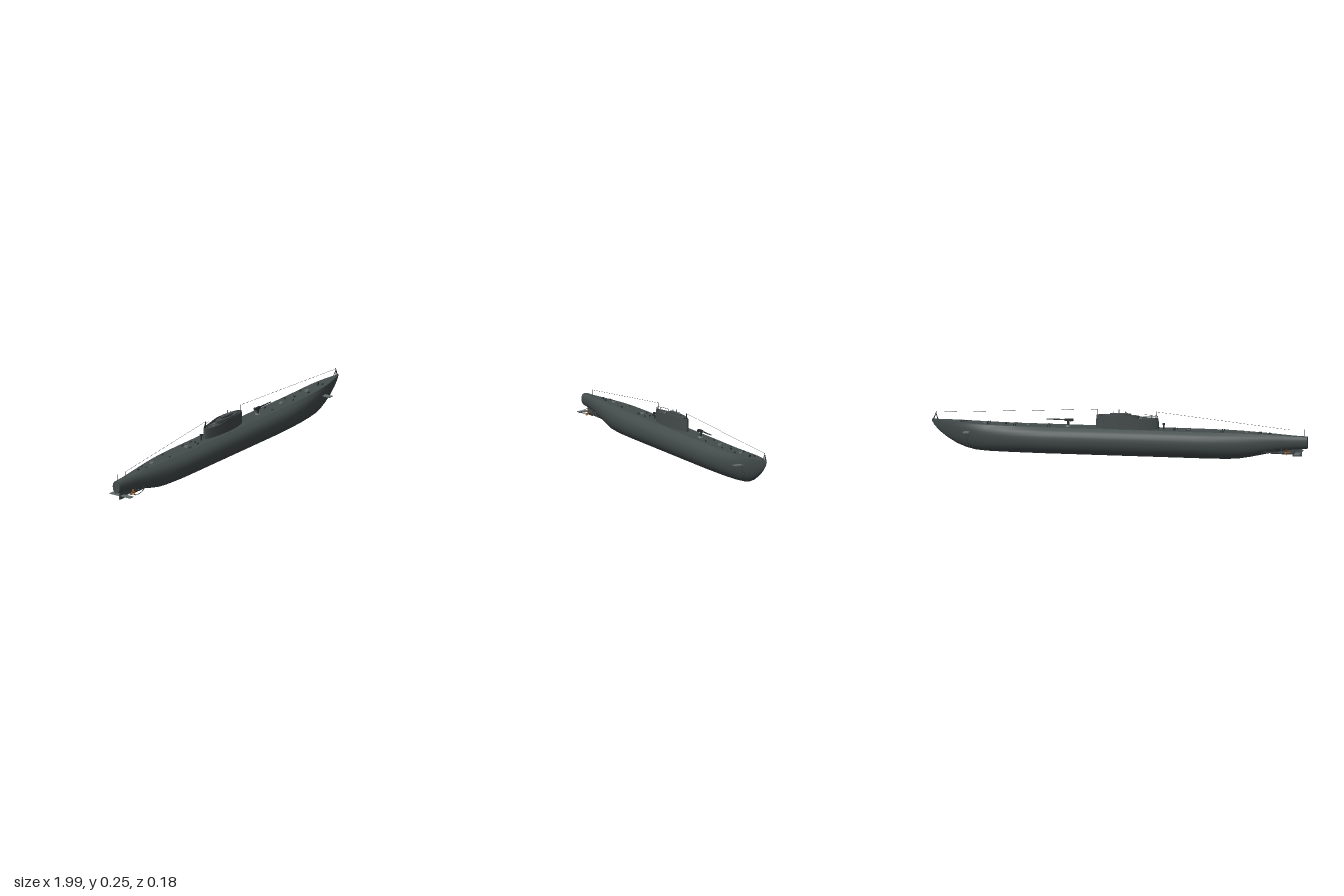
import * as THREE from 'three';

const mat = (name, color, side = THREE.FrontSide) => {
  const m = new THREE.MeshStandardMaterial({ color, side });
  m.name = name;
  return m;
};

// Stations: x, keel y, deck y, half width, bow shape blend
const STATIONS = [
  [-1, 0.067, 0.131, 0.022, 0], [-0.93, 0.062, 0.133, 0.028, 0], [-0.86, 0.051, 0.137, 0.036, 0],
  [-0.78, 0.034, 0.141, 0.048, 0], [-0.7, 0.016, 0.144, 0.061, 0], [-0.64, 0.005, 0.146, 0.07, 0],
  [-0.58, 0.001, 0.147, 0.077, 0], [-0.5, 0, 0.147, 0.084, 0], [-0.41, 0, 0.147, 0.088, 0],
  [0, 0, 0.147, 0.088, 0], [0.4, 0, 0.147, 0.088, 0], [0.5, 0, 0.147, 0.083, 0.05],
  [0.6, 0, 0.148, 0.075, 0.15], [0.7, 0.002, 0.15, 0.064, 0.35], [0.76, 0.007, 0.152, 0.056, 0.5],
  [0.81, 0.019, 0.154, 0.048, 0.65], [0.86, 0.039, 0.156, 0.038, 0.8], [0.91, 0.069, 0.159, 0.026, 0.9],
  [0.95, 0.1, 0.161, 0.015, 1], [0.98, 0.132, 0.163, 0.006, 1], [0.993, 0.155, 0.164, 0.0015, 1],
];

// Normalised half sections (z, y) from deck edge to keel
const MID = [[0.56, 1], [0.64, 0.965], [0.75, 0.92], [0.86, 0.86], [0.95, 0.77], [0.99, 0.67],
  [1, 0.565], [0.975, 0.44], [0.9, 0.315], [0.76, 0.195], [0.57, 0.095], [0.33, 0.03], [0, 0]];
const BOW = [[1, 1], [0.99, 0.95], [0.975, 0.89], [0.95, 0.82], [0.91, 0.74], [0.86, 0.65],
  [0.8, 0.56], [0.72, 0.45], [0.62, 0.34], [0.5, 0.23], [0.36, 0.13], [0.19, 0.05], [0, 0]];

function hullRing([x, y0, y1, w, b]) {
  const half = MID.map(([z, y], j) => [x,
    y0 + (y1 - y0) * (y + (BOW[j][1] - y) * b), w * (z + (BOW[j][0] - z) * b)]);
  return [...half, ...half.slice(0, -1).reverse().map(([a, y, z]) => [a, y, -z])];
}

// Skin over rings of equal length
function loft(rings, flip = false) {
  const n = rings[0].length, idx = [];
  for (let i = 0; i < rings.length - 1; i++) for (let j = 0; j < n - 1; j++) {
    const a = i * n + j, b = a + n, c = a + 1, d = b + 1;
    idx.push(...(flip ? [a, b, c, b, d, c] : [a, c, b, b, c, d]));
  }
  const g = new THREE.BufferGeometry();
  g.setAttribute('position', new THREE.Float32BufferAttribute(rings.flat(2), 3));
  g.setIndex(idx);
  g.computeVertexNormals();
  return g;
}

function deckY(x) {
  const i = Math.max(1, STATIONS.findIndex(s => s[0] >= x));
  const [a, b] = [STATIONS[i - 1], STATIONS[i]];
  return a[2] + (b[2] - a[2]) * (x - a[0]) / (b[0] - a[0]);
}

export function createModel() {
  const root = new THREE.Group();
  root.name = 'submarine';
  const hullMat = mat('hull grey', 0x444c4c);
  const towerMat = mat('tower grey', 0x444b4b, THREE.DoubleSide);
  const steel = mat('light steel', 0x626a6a);
  const dark = mat('dark fittings', 0x2b3030);
  const bronze = mat('bronze', 0x9a5a22, THREE.DoubleSide);

  const add = (name, geo, m, x = 0, y = 0, z = 0) => {
    const mesh = new THREE.Mesh(geo, m);
    mesh.name = name;
    mesh.position.set(x, y, z);
    root.add(mesh);
    return mesh;
  };
  const box = (name, m, w, h, d, x, y, z) => add(name, new THREE.BoxGeometry(w, h, d), m, x, y, z);
  const rod = (name, m, a, b, r, r2 = r, seg = 8) => {
    const p = new THREE.Vector3(...a), q = new THREE.Vector3(...b), dir = q.clone().sub(p);
    const mesh = add(name, new THREE.CylinderGeometry(r2, r, dir.length(), seg), m);
    mesh.position.copy(p).add(q).multiplyScalar(0.5);
    mesh.quaternion.setFromUnitVectors(new THREE.Vector3(0, 1, 0), dir.normalize());
    return mesh;
  };

  // Hull skin, deck and stern plate
  const rings = STATIONS.map(hullRing);
  add('hull', loft(rings), hullMat);
  add('deck', loft(rings.map(r => [r[0], r[r.length - 1]]), true), hullMat);
  const stern = new THREE.Shape(rings[0].map(p => new THREE.Vector2(p[2], p[1])));
  add('sternPlate', new THREE.ShapeGeometry(stern), hullMat, -1).rotation.y = -Math.PI / 2;

  // Conning tower: an elliptical wall with a stepped rim and a sunken floor
  const rim = x => 0.203 + 0.011 * THREE.MathUtils.smoothstep(x, -0.14, -0.04);
  const ellipse = (rx, rz, yOf) => Array.from({ length: 49 }, (_, i) => {
    const t = i / 48 * Math.PI * 2, x = -0.045 + rx * Math.cos(t);
    return [x, yOf(x), rz * Math.sin(t)];
  });
  add('towerWall', loft([ellipse(0.168, 0.035, () => 0.14), ellipse(0.165, 0.034, rim)]), towerMat);
  add('towerRim', loft([ellipse(0.165, 0.034, rim), ellipse(0.16, 0.031, rim)]), towerMat);
  add('towerInside', loft([ellipse(0.16, 0.031, rim), ellipse(0.16, 0.031, () => 0.196)]), towerMat);
  const oval = (name, m, x, y, rx, rz, h) =>
    add(name, new THREE.CylinderGeometry(1, 1, h, 32), m, x, y + h / 2).scale.set(rx, 1, rz);
  oval('towerFloor', towerMat, -0.045, 0.194, 0.161, 0.032, 0.003);
  oval('bridgeFairing', towerMat, -0.01, 0.196, 0.095, 0.022, 0.019);
  oval('periscopeHousing', towerMat, -0.008, 0.21, 0.056, 0.012, 0.015);
  [[-0.035, 0.235, 0.004], [0.0, 0.246, 0.003], [0.028, 0.234, 0.003]].forEach(([x, y, r]) =>
    rod('periscope', steel, [x, 0.21, 0], [x, y, 0], r, r * 0.8, 12));
  box('towerHatch', steel, 0.022, 0.006, 0.02, -0.118, 0.2, 0);

  // Rails around the after platform
  const railPts = Array.from({ length: 13 }, (_, i) => {
    const t = Math.PI * (0.68 + 0.64 * i / 12);
    return new THREE.Vector3(-0.045 + 0.16 * Math.cos(t), 0.216, 0.031 * Math.sin(t));
  });
  add('platformRail', new THREE.TubeGeometry(new THREE.CatmullRomCurve3(railPts), 24, 0.0009, 5), dark);
  railPts.filter((_, i) => i % 2 === 0).forEach(p =>
    rod('railPost', dark, [p.x, 0.196, p.z], [p.x, p.y, p.z], 0.0009, 0.0009, 5));

  // Aerial wires, masts and insulators
  rod('aftMast', dark, [-0.198, 0.2, 0], [-0.198, 0.24, 0], 0.0015);
  rod('forwardMast', dark, [0.112, 0.205, 0], [0.112, 0.243, 0], 0.0015);
  rod('sternMast', dark, [-0.915, 0.13, 0], [-0.915, 0.166, 0], 0.0012);
  rod('ensignStaff', dark, [-0.985, 0.13, 0], [-0.985, 0.17, 0], 0.0012);
  rod('aftAerial', dark, [-0.915, 0.165, 0], [-0.198, 0.239, 0], 0.0006, 0.0006, 5);
  rod('forwardAerial', dark, [0.112, 0.243, 0], [0.968, 0.2, 0], 0.0006, 0.0006, 5);

  // Bow net cutter
  rod('bowPost', dark, [0.985, 0.16, 0], [0.968, 0.203, 0], 0.003, 0.002);
  for (const s of [-1, 1]) rod('bowBrace', dark, [0.96, 0.16, s * 0.008], [0.971, 0.195, 0], 0.0015);

  // Deck gun
  add('gunBase', new THREE.CylinderGeometry(0.012, 0.016, 0.008, 20), steel, 0.27, 0.15, 0);
  rod('gunPedestal', dark, [0.27, 0.147, 0], [0.27, 0.178, 0], 0.008, 0.005, 12);
  box('gunBreech', dark, 0.045, 0.011, 0.012, 0.266, 0.181, 0);
  rod('gunBarrel', dark, [0.28, 0.182, 0], [0.385, 0.182, 0], 0.0038, 0.0025, 10);
  for (const s of [-1, 1]) box('gunSight', dark, 0.014, 0.008, 0.004, 0.258, 0.18, s * 0.011);

  // Hatches, capstans and the stowed post
  [-0.68, -0.37, 0.48, 0.71].forEach(x => {
    add('deckHatch', new THREE.CylinderGeometry(0.011, 0.012, 0.007, 20), steel, x, deckY(x) + 0.003, 0);
  });
  [-0.8, -0.29, 0.6, 0.81].forEach(x => {
    rod('capstan', dark, [x, deckY(x) - 0.002, 0], [x, deckY(x) + 0.008, 0], 0.004, 0.005, 12);
  });
  rod('deckPost', dark, [-0.237, 0.145, 0], [-0.237, 0.178, 0], 0.004, 0.004, 10);
  box('deckPostHead', dark, 0.012, 0.008, 0.012, -0.237, 0.176, 0);

  for (const s of [-1, 1]) {
    // Paired mooring bollards
    [-0.75, -0.55, -0.37, -0.3, 0.37, 0.55, 0.69, 0.83].forEach(x => {
      const z = s * (Math.abs(x) > 0.7 ? 0.015 : 0.025), y = deckY(x);
      for (const d of [-0.005, 0.005])
        rod('bollard', dark, [x + d, y - 0.002, z], [x + d, y + 0.007, z], 0.0025);
    });

    // Diving planes
    box('bowPlane', steel, 0.032, 0.003, 0.052, 0.8, 0.111, s * 0.066);
    box('sternPlane', steel, 0.03, 0.004, 0.06, -0.953, 0.046, s * 0.036);

    // Torpedo tube doors on the bow flanks
    [[0.8, 0.088], [0.807, 0.066], [0.8, 0.045]].forEach(([x, y]) => {
      const i = STATIONS.findIndex(q => q[0] >= x), a = rings[i - 1], b = rings[i];
      const t = (x - a[0][0]) / (b[0][0] - a[0][0]);
      const prof = a.slice(0, 13).map((p, j) => new THREE.Vector3(...p).lerp(new THREE.Vector3(...b[j]), t));
      const k = prof.findIndex(p => p.y <= y), p = prof[k - 1], q = prof[k];
      const hit = p.clone().lerp(q, (y - p.y) / (q.y - p.y));
      const along = new THREE.Vector3(...b[k]).sub(new THREE.Vector3(...a[k]));
      const n = q.clone().sub(p).cross(along).normalize();
      n.z *= s;
      const door = add('torpedoDoor', new THREE.TorusGeometry(0.008, 0.0008, 5, 24), dark, hit.x, y, s * hit.z);
      door.quaternion.setFromUnitVectors(new THREE.Vector3(0, 0, 1), n);
    });

    // Propeller shaft, strut, hub and blades
    rod('propellerShaft', dark, [-0.7, 0.048, s * 0.034], [-0.9, 0.05, s * 0.034], 0.004);
    rod('shaftStrut', dark, [-0.865, 0.05, s * 0.034], [-0.865, 0.085, s * 0.018], 0.003);
    rod('propellerHub', bronze, [-0.885, 0.05, s * 0.034], [-0.912, 0.05, s * 0.034], 0.005, 0.002, 12);
    for (let k = 0; k < 3; k++) {
      const blade = new THREE.CircleGeometry(1, 16);
      blade.scale(0.006, 0.01, 1).translate(0, 0.012, 0);
      blade.rotateY(Math.PI / 2 + s * 0.5).rotateX(k * Math.PI * 2 / 3);
      add('propellerBlade', blade, bronze, -0.895, 0.05, s * 0.034);
    }

    // Propeller guard hoop
    const hoop = [[-0.8, 0.07, 0.03], [-0.83, 0.062, 0.057], [-0.875, 0.054, 0.071],
      [-0.92, 0.052, 0.067], [-0.94, 0.056, 0.045], [-0.925, 0.068, 0.02]];
    const curve = new THREE.CatmullRomCurve3(hoop.map(([x, y, z]) => new THREE.Vector3(x, y, s * z)));
    add('propellerGuard', new THREE.TubeGeometry(curve, 32, 0.0015, 6), dark);
  }

  // Skeg and rudder under the stern
  box('skeg', hullMat, 0.13, 0.03, 0.008, -0.87, 0.05, 0);
  box('rudder', hullMat, 0.05, 0.042, 0.006, -0.945, 0.046, 0);
  return root;
}
